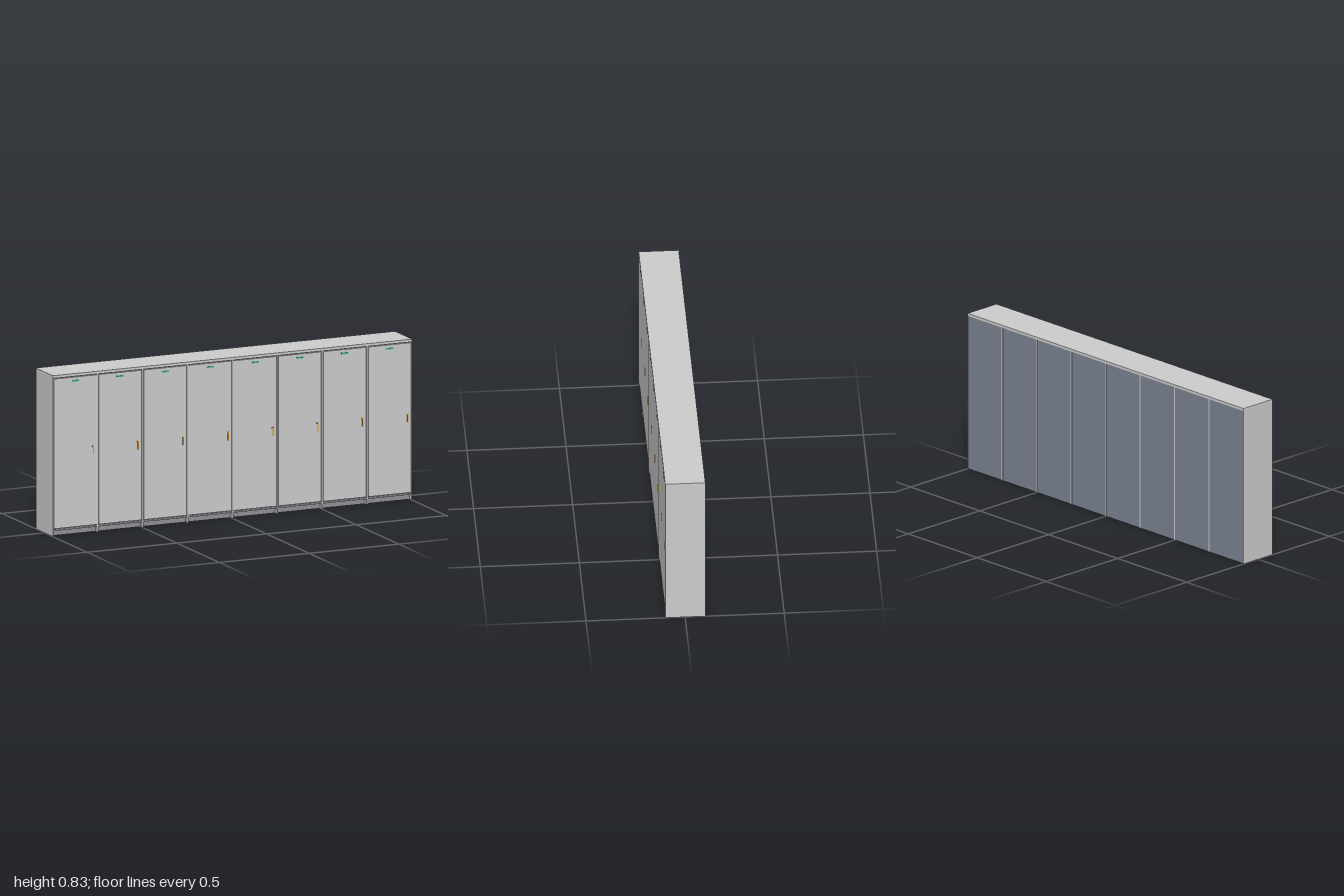
import * as THREE from 'three';

const COUNT = 8, W = 0.25, H = 0.83, BACK = -0.102, FRONT = 0.1, T = 0.004;

const mat = (color) => new THREE.MeshStandardMaterial({ color });
const grey = mat(0xcccccc), slate = mat(0x7b8491), dark = mat(0x8e9094);
const teal = mat(0x35a386), amber = mat(0xd9982b);

// Box given by its min and max corners
function box(name, material, x0, x1, y0, y1, z0, z1) {
  const mesh = new THREE.Mesh(new THREE.BoxGeometry(x1 - x0, y1 - y0, z1 - z0), material);
  mesh.position.set((x0 + x1) / 2, (y0 + y1) / 2, (z0 + z1) / 2);
  mesh.name = name;
  return mesh;
}

function createLocker() {
  const g = new THREE.Group();
  const h = W / 2, inner = h - T;

  // Carcass: side panels, top, floor, back and recessed toe kick
  for (const s of [-1, 1]) {
    const a = s * h, b = s * inner;
    g.add(box('sidePanel', grey, Math.min(a, b), Math.max(a, b), 0, H - 0.014, BACK, FRONT));
  }
  g.add(box('topPanel', grey, -h, h, H - 0.014, H, BACK, FRONT));
  g.add(box('floorPanel', dark, -inner, inner, 0.028, 0.036, BACK + 0.004, FRONT - 0.004));
  g.add(box('backPanel', slate, -inner, inner, 0.001, H - 0.014, BACK + 0.001, BACK + 0.005));
  g.add(box('toeKick', dark, -inner, inner, 0.001, 0.03, BACK + 0.005, FRONT - 0.02));

  // Dark reveal behind the door
  g.add(box('doorRecess', slate, -inner, inner, 0.036, H - 0.014, FRONT - 0.014, FRONT - 0.01));

  // Door with its number plate and handle
  const door = new THREE.Group();
  door.name = 'door';
  door.add(box('doorLeaf', grey, -inner + 0.002, inner - 0.002, 0.04, 0.812, FRONT - 0.01, FRONT - 0.0005));
  door.add(box('numberPlate', teal, -0.02, 0.02, 0.789, 0.797, FRONT - 0.001, FRONT + 0.001));
  door.add(box('handlePlate', amber, h - 0.028, h - 0.022, 0.405, 0.449, FRONT - 0.001, FRONT + 0.003));
  door.add(box('handleLever', amber, h - 0.032, h - 0.022, 0.443, 0.449, FRONT, FRONT + 0.003));
  g.add(door);
  return g;
}

export function createModel() {
  const model = new THREE.Group();
  model.name = 'lockerRow';
  for (let i = 0; i < COUNT; i++) {
    const locker = createLocker();
    locker.name = `locker${i + 1}`;
    locker.position.x = (i - (COUNT - 1) / 2) * W;
    model.add(locker);
  }
  return model;
}
